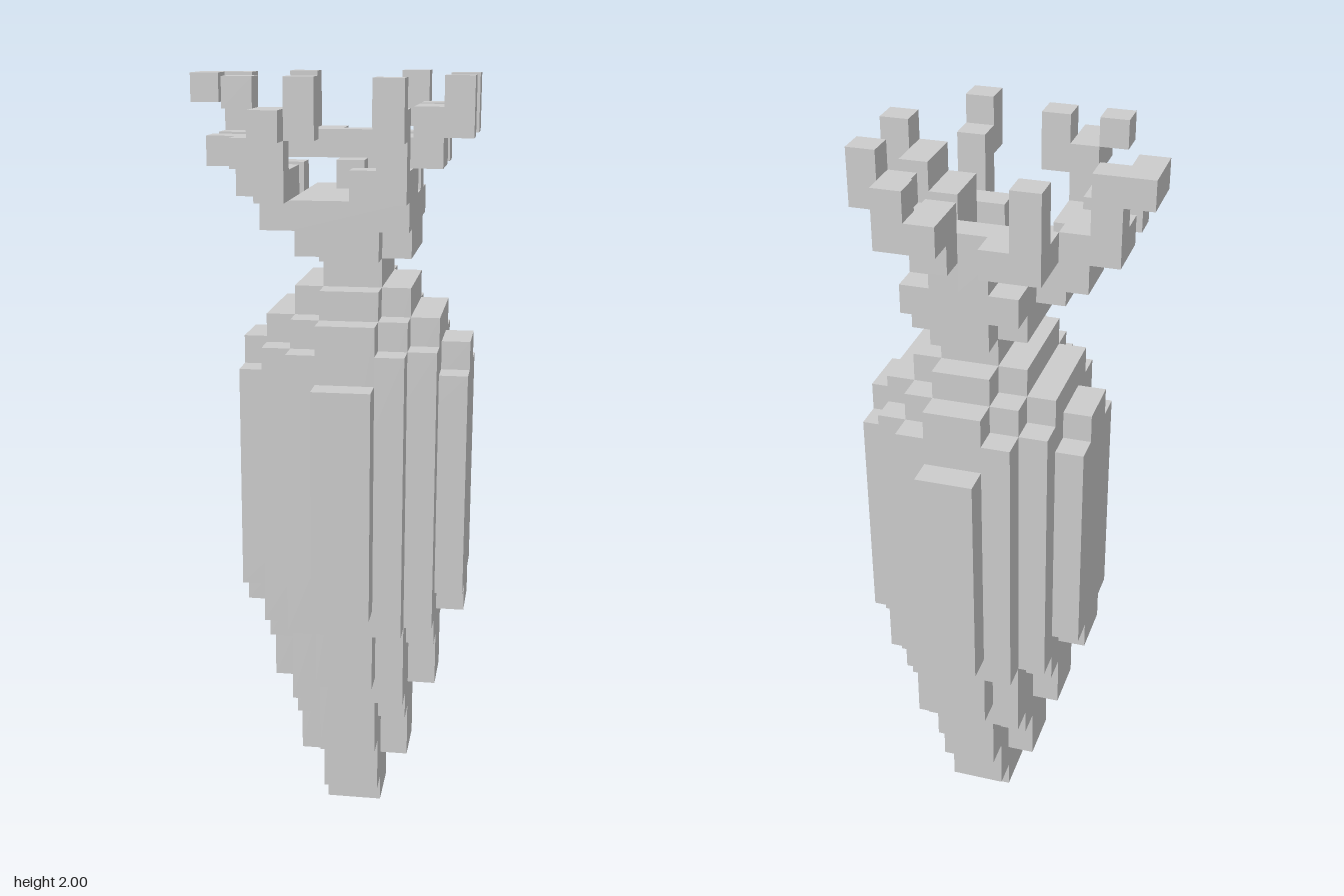
import * as THREE from 'three';

const U = 2 / 27; // one voxel

export function createModel() {
  const model = new THREE.Group();
  const material = new THREE.MeshStandardMaterial({ color: 0xcccccc, flatShading: true });

  // Box between voxel grid planes
  function block(parent, name, x0, x1, y0, y1, z0, z1) {
    const mesh = new THREE.Mesh(
      new THREE.BoxGeometry((x1 - x0) * U, (y1 - y0) * U, (z1 - z0) * U), material);
    mesh.position.set((x0 + x1) / 2 * U, (y0 + y1) / 2 * U, (z0 + z1) / 2 * U);
    mesh.name = name;
    parent.add(mesh);
  }
  function part(name) {
    const group = new THREE.Group();
    group.name = name;
    model.add(group);
    return group;
  }

  // Tapered root: for each half width in x, slabs of [half depth, bottom, top]
  const root = part('root');
  const slabs = {
    1: [[1, 0, 21], [2, 1, 21], [3, 3, 20], [4, 6, 19], [5, 9, 17]],
    2: [[1, 2, 20], [2, 4, 20], [3, 5, 19], [4, 8, 18]],
    3: [[1, 5, 19], [2, 7, 19], [3, 8, 18]],
    4: [[1, 8, 18], [2, 9, 17]],
  };
  for (const [half, list] of Object.entries(slabs)) {
    for (const [d, y0, y1] of list) block(root, 'rootSlab', 1 - half, 1 + +half, y0, y1, -d, d);
  }

  // Crown from which the stalks grow
  const crown = part('crown');
  block(crown, 'crownBase', 0, 2, 21, 22, -3, 3);
  block(crown, 'crownBase', -1, 3, 21, 22, -2, 2);
  block(crown, 'crownTop', -1, 3, 22, 23, -3, 3);

  // Stalks: runs of voxels as [x, y, z, width, height, depth]
  const stalks = {
    leftBackStalk: [[4, 25, -2, 1, 2, 1], [3, 24, -2, 1, 2, 1], [2, 23, -2, 1, 2, 1]],
    leftFrontStalk: [[4, 25, 1, 1, 2, 1], [3, 24, 0, 1, 2, 1], [3, 24, 1, 1, 2, 1],
      [2, 23, 0, 1, 2, 2]],
    backStalk: [[2, 25, -5, 1, 2, 1], [1, 25, -5, 1, 1, 2], [1, 24, -4, 1, 1, 2],
      [1, 23, -3, 1, 1, 1]],
    rightBackStalk: [[-2, 24, -4, 1, 3, 1], [-2, 24, -3, 3, 1, 1], [-1, 24, -4, 1, 1, 1],
      [0, 23, -3, 1, 1, 2]],
    rightArchStalk: [[-5, 26, -2, 2, 1, 1], [-5, 26, -1, 1, 1, 1], [-4, 24, -2, 1, 2, 1],
      [-4, 24, -1, 1, 1, 1], [-3, 23, -2, 1, 2, 2], [-2, 22, -1, 1, 2, 1]],
    rightStalk: [[-4, 24, 1, 1, 1, 1], [-3, 23, 1, 1, 2, 1], [-2, 22, 1, 1, 2, 1]],
    rightFrontStalk: [[-2, 25, 4, 1, 1, 1], [-3, 26, 3, 1, 1, 1], [-1, 25, 3, 1, 2, 1],
      [-2, 23, 3, 1, 3, 1], [-3, 24, 2, 1, 1, 1], [-2, 22, 2, 1, 2, 1]],
    frontStalk: [[2, 25, 4, 1, 2, 1], [2, 23, 3, 1, 3, 1], [1, 23, 2, 2, 1, 1]],
  };
  for (const [name, runs] of Object.entries(stalks)) {
    const stalk = part(name);
    for (const [x, y, z, w, h, d] of runs) block(stalk, 'stalkRun', x, x + w, y, y + h, z, z + d);
  }
  return model;
}
